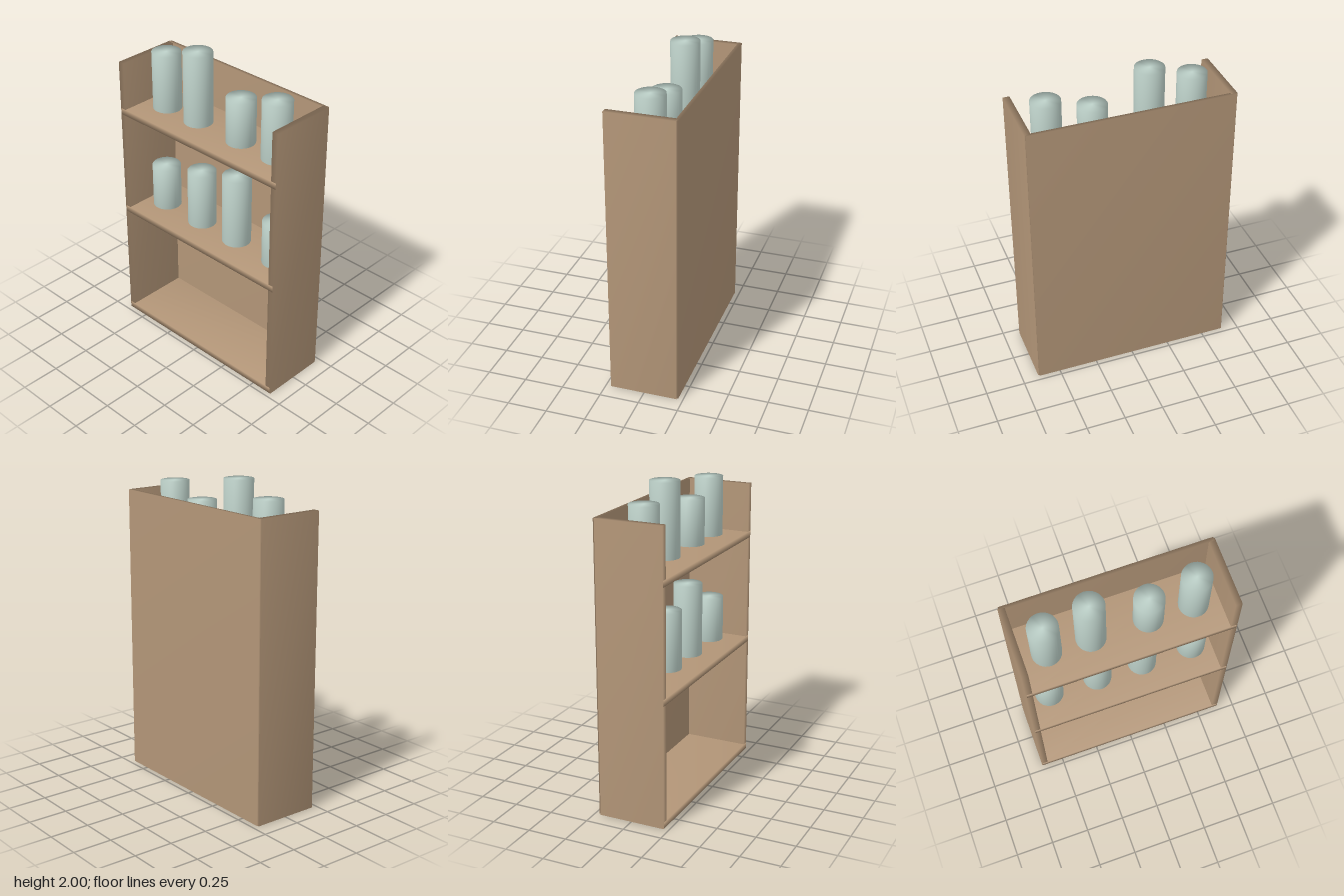
import * as THREE from 'three';
import { mergeVertices } from 'three/addons/utils/BufferGeometryUtils.js';

// Weld shared corners so shading runs smoothly over every edge
function soften(geometry) {
  geometry.deleteAttribute('normal');
  geometry.deleteAttribute('uv');
  const welded = mergeVertices(geometry, 1e-4);
  welded.computeVertexNormals();
  return welded;
}

export function createModel() {
  const wood = new THREE.MeshStandardMaterial({ color: 0xb39678 });
  wood.name = 'brown wood';
  const glass = new THREE.MeshStandardMaterial({ color: 0xc0d4cc });
  glass.name = 'pale green';

  const model = new THREE.Group();
  model.name = 'shelfWithJars';

  // Board given by its lower and upper corners
  function board(name, [x0, y0, z0], [x1, y1, z1]) {
    const geometry = soften(new THREE.BoxGeometry(x1 - x0, y1 - y0, z1 - z0));
    const mesh = new THREE.Mesh(geometry, wood);
    mesh.position.set((x0 + x1) / 2, (y0 + y1) / 2, (z0 + z1) / 2);
    mesh.name = name;
    model.add(mesh);
  }

  // Cabinet
  board('leftSide', [0.605, 0, -0.21], [0.646, 1.85, 0.217]);
  board('rightSide', [-0.646, 0, -0.21], [-0.605, 1.85, 0.217]);
  board('backPanel', [-0.64, 0.003, -0.22], [0.64, 1.85, -0.197]);
  const shelfTops = [0.042, 0.825, 1.537];
  shelfTops.forEach((top, i) => {
    board(['bottomShelf', 'middleShelf', 'topShelf'][i], [-0.64, top - 0.04, -0.205], [0.64, top, 0.219]);
  });

  // Jars: [x, top height] on each upper shelf
  const rows = [
    { name: 'middleJar', base: shelfTops[1], jars: [[-0.475, 1.115], [-0.155, 1.2], [0.145, 1.29], [0.477, 1.115]] },
    { name: 'topJar', base: shelfTops[2], jars: [[-0.45, 1.913], [-0.18, 2], [0.173, 1.827], [0.453, 1.913]] },
  ];
  for (const { name, base, jars } of rows) {
    jars.forEach(([x, top], i) => {
      const jar = new THREE.Mesh(soften(new THREE.CylinderGeometry(0.091, 0.091, top - base, 32)), glass);
      jar.position.set(x, (base + top) / 2, 0.005);
      jar.name = name + (i + 1);
      model.add(jar);
    });
  }
  return model;
}
